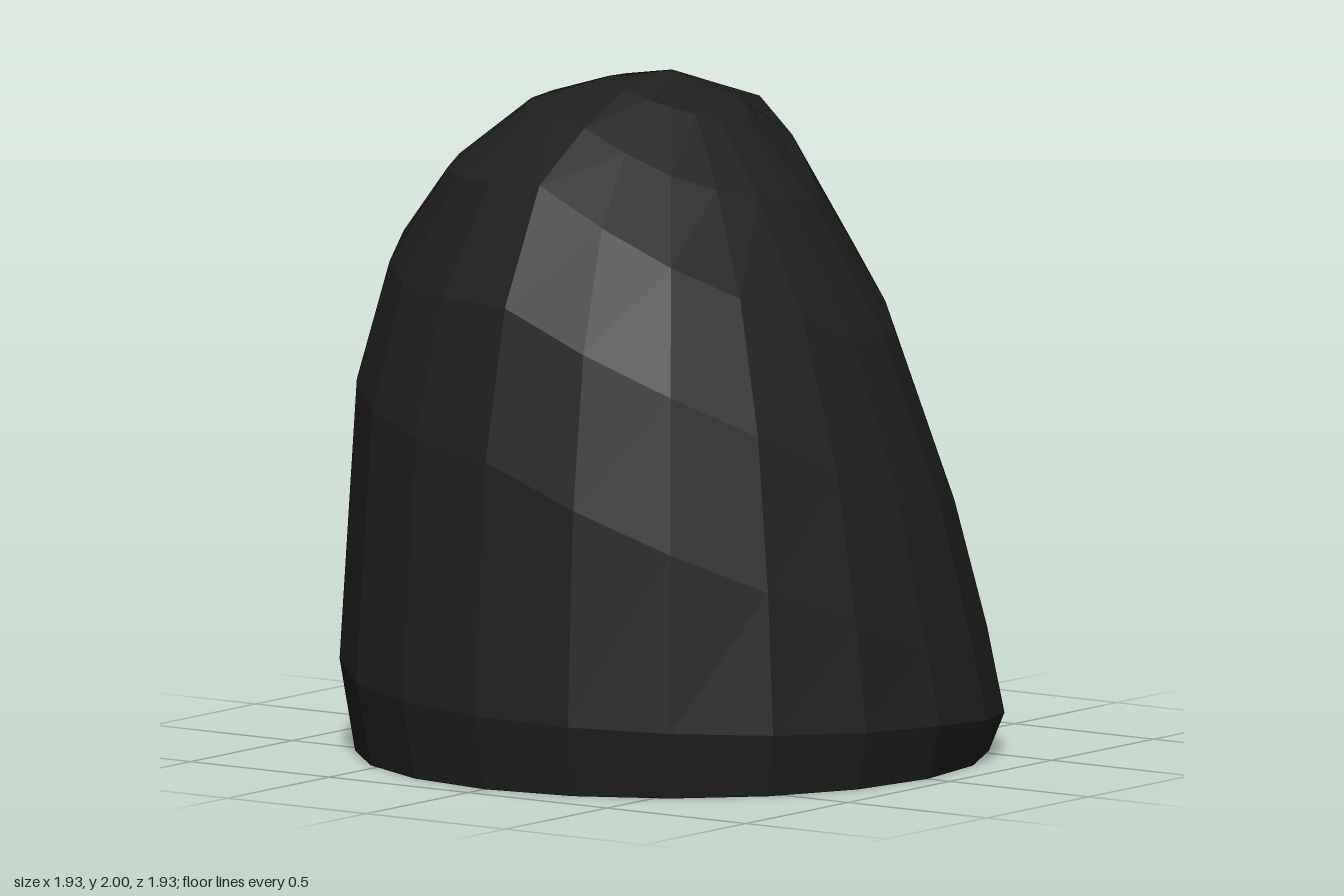
import * as THREE from 'three';

const SIDES = 20;
// The shell is open underneath, so its inside shows too
const charcoal = new THREE.MeshStandardMaterial({ color: 0x202020, flatShading: true, side: THREE.DoubleSide });
charcoal.name = 'charcoal';

// Radius of each ring, from the widest one up to the crown
const radii = [0.965, 0.915, 0.82, 0.65, 0.43, 0.23];
// Height of each ring in eight directions, turning from +x to +z to -x to -z
const heights = [
  [0.16, 0.38, 0.80, 1.27, 1.65, 1.87],
  [0.19, 0.65, 1.10, 1.46, 1.72, 1.91],
  [0.22, 0.96, 1.40, 1.74, 1.88, 1.97],
  [0.25, 1.06, 1.41, 1.71, 1.89, 1.96],
  [0.35, 1.21, 1.54, 1.73, 1.90, 1.96],
  [0.30, 1.02, 1.42, 1.67, 1.92, 1.96],
  [0.15, 0.50, 1.09, 1.57, 1.87, 1.93],
  [0.10, 0.36, 0.72, 1.22, 1.62, 1.88],
];

// Blended height of a ring at any column
function ringHeight(ring, column) {
  const t = (column / SIDES) * 8;
  const i = Math.floor(t) % 8;
  return THREE.MathUtils.lerp(heights[i][ring], heights[(i + 1) % 8][ring], t % 1);
}

function ringPoints(radius, heightAt) {
  return Array.from({ length: SIDES }, (_, c) => {
    const a = (c / SIDES) * Math.PI * 2;
    return new THREE.Vector3(radius * Math.cos(a), heightAt(c), radius * Math.sin(a));
  });
}

// Split a quad along the diagonal that bulges outwards
function splitQuad(a, b, d, e) {
  const outward = a.clone().add(b).add(d).add(e).sub(new THREE.Vector3(0, 3.2, 0));
  const bulge = a.clone().add(e).sub(b).sub(d).dot(outward);
  return bulge > 0 ? [a, d, e, a, e, b] : [a, d, b, b, d, e];
}

function meshFrom(name, points) {
  const geometry = new THREE.BufferGeometry().setFromPoints(points);
  geometry.computeVertexNormals();
  const mesh = new THREE.Mesh(geometry, charcoal);
  mesh.name = name;
  return mesh;
}

export function createModel() {
  const group = new THREE.Group();
  group.name = 'stoneShell';

  const rings = [
    ringPoints(0.92, () => 0),
    ...radii.map((r, i) => ringPoints(r, (c) => ringHeight(i, c))),
  ];
  const top = rings[rings.length - 1];
  const peak = new THREE.Vector3(0, 2, 0);
  const wall = [], crown = [];

  for (let c = 0; c < SIDES; c++) {
    const n = (c + 1) % SIDES;
    // Faceted wall
    for (let r = 0; r < rings.length - 1; r++) {
      wall.push(...splitQuad(rings[r][c], rings[r][n], rings[r + 1][c], rings[r + 1][n]));
    }
    // Closing fan at the peak
    crown.push(top[c], peak, top[n]);
  }

  group.add(meshFrom('wall', wall), meshFrom('crown', crown));
  return group;
}
